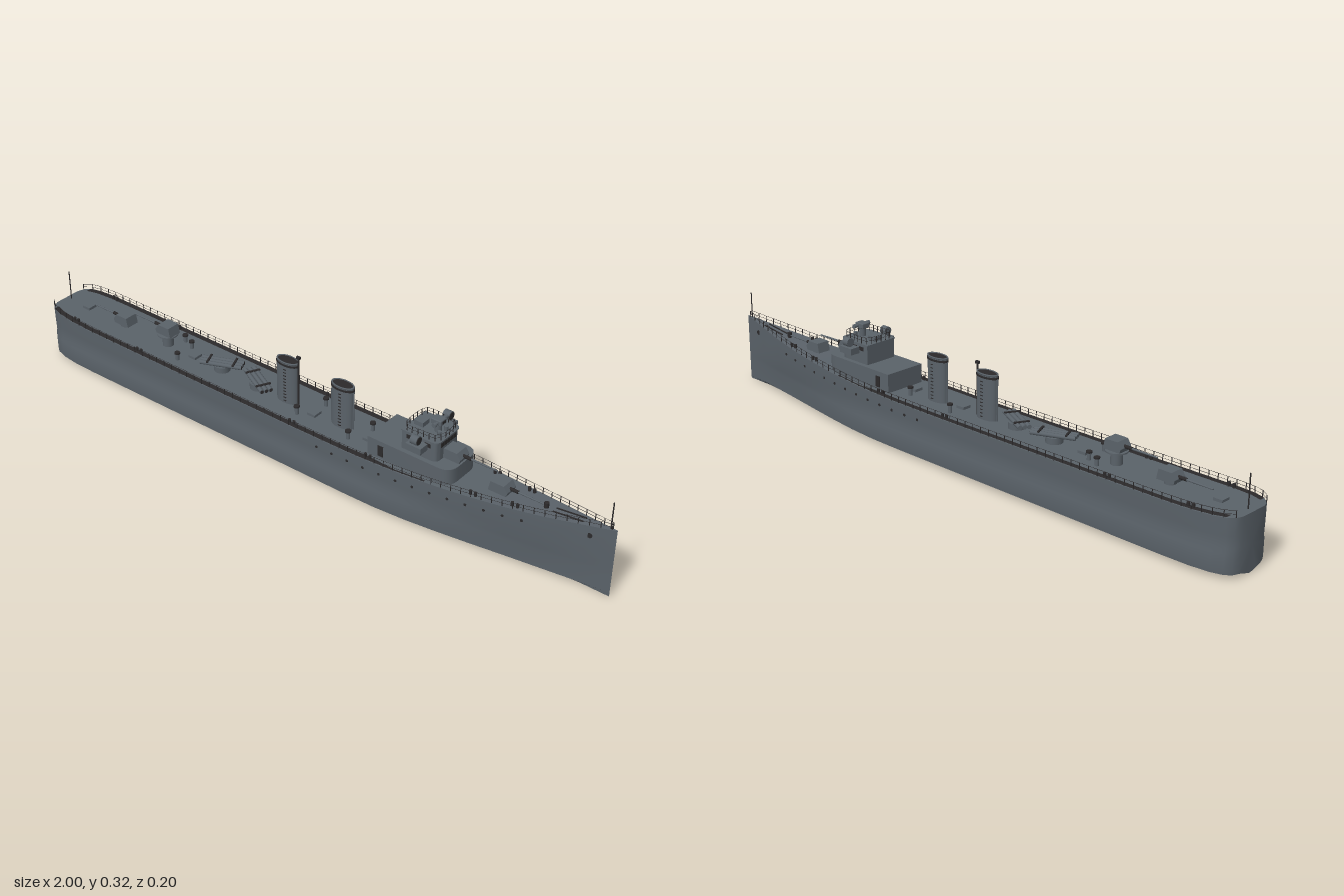
import * as THREE from 'three';
import { mergeGeometries, toCreasedNormals } from 'three/addons/utils/BufferGeometryUtils.js';
import { RoundedBoxGeometry } from 'three/addons/geometries/RoundedBoxGeometry.js';

const grey = new THREE.MeshStandardMaterial({ color: 0x5a6269, name: 'ship grey' });
const dark = new THREE.MeshStandardMaterial({ color: 0x2c2a2b, name: 'dark fittings' });

// Hull stations: [x, half width at deck, deck height]
const stations = [
  [-1, 0.045, 0.17], [-0.992, 0.066, 0.17], [-0.975, 0.08, 0.17], [-0.94, 0.091, 0.169], [-0.88, 0.098, 0.167],
  [-0.8, 0.1, 0.165], [-0.4, 0.1, 0.162], [0, 0.1, 0.16], [0.2, 0.1, 0.161], [0.3, 0.098, 0.163], [0.4, 0.092, 0.166],
  [0.5, 0.083, 0.17], [0.6, 0.072, 0.176], [0.7, 0.058, 0.183], [0.8, 0.042, 0.193], [0.9, 0.022, 0.205], [1, 0.001, 0.218],
];
function station(x) {
  let i = 0;
  while (i < stations.length - 2 && x > stations[i + 1][0]) i++;
  const a = stations[i], b = stations[i + 1], t = (x - a[0]) / (b[0] - a[0]);
  return { w: a[1] + (b[1] - a[1]) * t, y: a[2] + (b[2] - a[2]) * t };
}

// Skin a grid of cross-section points
function loft(rows, crease = 0.6) {
  const n = rows[0].length, pos = rows.flat().flat(), idx = [];
  for (let i = 0; i < rows.length - 1; i++)
    for (let j = 0; j < n - 1; j++) {
      const a = i * n + j, b = a + n;
      idx.push(a, a + 1, b, b, a + 1, b + 1);
    }
  const g = new THREE.BufferGeometry();
  g.setAttribute('position', new THREE.Float32BufferAttribute(pos, 3));
  g.setIndex(idx);
  g.computeVertexNormals();
  return toCreasedNormals(g, crease);
}

function add(parent, name, geo, mat, x = 0, y = 0, z = 0) {
  const m = new THREE.Mesh(geo, mat);
  m.name = name;
  m.position.set(x, y, z);
  parent.add(m);
  return m;
}
const box = (w, h, d) => new THREE.BoxGeometry(w, h, d);
const cyl = (r, h, n = 16, r2 = r) => new THREE.CylinderGeometry(r2, r, h, n);

function hull() {
  const rows = stations.map(([x, w, y]) => {
    const bow = THREE.MathUtils.smoothstep(x, 0.3, 1), low = w * (1 - 0.35 * bow);
    const side = [[w, y], [w * 0.985, 0.12], [w * (0.96 - 0.15 * bow), 0.085], [w * (1 - 0.25 * bow), 0.07],
      [low, 0.025], [low * 0.985, 0.013], [low * 0.5, 0.006], [0, 0]];
    const ring = [...side, ...side.slice(0, -1).reverse().map(([z, v]) => [-z, v]), [w, y]];
    return ring.map(([z, v]) => [x, v, z]);
  });
  rows.unshift(rows[0].map(() => [-1, 0.085, 0])); // transom
  return loft(rows);
}

// Railing along a list of deck points
function railing(points, height, step) {
  const curve = new THREE.CatmullRomCurve3(points, false, 'centripetal');
  const count = Math.max(2, Math.round(curve.getLength() / step)), parts = [];
  for (const p of curve.getSpacedPoints(count))
    parts.push(box(0.0018, height, 0.0018).translate(p.x, p.y + height / 2, p.z));
  for (const f of [0.5, 1]) {
    const wire = new THREE.CatmullRomCurve3(points.map(p => p.clone().setY(p.y + height * f)), false, 'centripetal');
    parts.push(new THREE.TubeGeometry(wire, count, 0.0006, 4));
  }
  return mergeGeometries(parts);
}

// Deckhouse from a plan with rounded front corners
function house(x0, x1, w, h, r) {
  const s = new THREE.Shape();
  s.moveTo(x0, -w);
  s.lineTo(x1 - r, -w);
  s.quadraticCurveTo(x1, -w, x1, -w + r);
  s.lineTo(x1, w - r);
  s.quadraticCurveTo(x1, w, x1 - r, w);
  s.lineTo(x0, w);
  s.closePath();
  return toCreasedNormals(new THREE.ExtrudeGeometry(s, { depth: h, bevelEnabled: false, curveSegments: 6 }).rotateX(-Math.PI / 2), 0.6);
}

function gun(name, x, y, dir, base) {
  const g = new THREE.Group();
  g.name = name;
  g.position.set(x, y, 0);
  if (dir < 0) g.rotation.y = Math.PI;
  add(g, 'gunPedestal', cyl(0.017, base, 16), grey, 0, base / 2);
  const s = new THREE.Shape([[-0.03, 0], [0.026, 0], [0.03, 0.012], [0.018, 0.03], [-0.024, 0.03]].map(p => new THREE.Vector2(...p)));
  add(g, 'gunShield', new THREE.ExtrudeGeometry(s, { depth: 0.044, bevelEnabled: false }).translate(0, 0, -0.022), grey, 0, base);
  add(g, 'gunBarrel', cyl(0.0035, 0.11, 10, 0.0022).rotateZ(-Math.PI / 2), grey, 0.08, base + 0.015);
  add(g, 'gunSleeve', cyl(0.005, 0.03, 10).rotateZ(-Math.PI / 2), dark, 0.036, base + 0.015);
  return g;
}

function funnel(name, x) {
  const g = new THREE.Group();
  g.name = name;
  g.position.set(x, 0.158, 0);
  const oval = (r, h, open) => new THREE.CylinderGeometry(r, r, h, 32, 1, open).scale(1, 1, 0.52);
  add(g, 'funnelCasing', oval(0.037, 0.138), grey, 0, 0.069);
  add(g, 'funnelCap', oval(0.04, 0.006), dark, 0, 0.131);
  add(g, 'funnelLip', new THREE.TorusGeometry(0.036, 0.003, 6, 32).rotateX(Math.PI / 2).scale(1, 1, 0.52), grey, 0, 0.139);
  add(g, 'funnelMouth', oval(0.034, 0.003), dark, 0, 0.138);
  for (const s of [-1, 1]) {
    for (let i = 0; i < 11; i++) add(g, 'ladderRung', box(0.009, 0.0018, 0.003), dark, 0.004, 0.012 + i * 0.0105, s * 0.0202);
    add(g, 'steamPipe', cyl(0.0025, 0.13, 8), grey, s * 0.0385, 0.065, 0);
  }
  return g;
}

function torpedoMount(x, z, angle) {
  const g = new THREE.Group();
  g.name = 'torpedoMount';
  g.position.set(x, 0.16, z);
  g.rotation.y = angle;
  add(g, 'turntable', cyl(0.025, 0.02, 20), grey, 0, 0.01);
  for (const i of [-1, 0, 1]) {
    add(g, 'torpedoTube', cyl(0.0065, 0.13, 12).rotateZ(Math.PI / 2), grey, 0, 0.026, i * 0.014);
    add(g, 'tubeMouth', cyl(0.0055, 0.001, 12).rotateZ(Math.PI / 2), dark, 0.0653, 0.026, i * 0.014);
  }
  for (const k of [-0.04, 0.04]) add(g, 'tubeClamp', box(0.006, 0.004, 0.046), dark, k, 0.033);
  return g;
}

export function createModel() {
  const ship = new THREE.Group();
  ship.name = 'warship';
  add(ship, 'hull', hull(), grey);

  // Fittings mirrored on both sides
  for (const s of [-1, 1]) {
    const edge = [-0.975, -0.94, -0.88, -0.8, -0.4, 0, 0.2, 0.27, 0.36, 0.46].map(x => {
      const { w, y } = station(x), band = x < 0.28 ? 0.018 : 0.006;
      const e = [[x, y + 0.002, s * (w - band)], [x, y + 0.002, s * (w - 0.0005)]];
      return s > 0 ? e : e.reverse();
    });
    add(ship, 'deckEdgeStrip', loft(edge), dark);
    const line = stations.filter(p => p[0] > -0.995 && p[0] < 0.99).map(([x, w, y]) => new THREE.Vector3(x, y, s * (w - 0.002)));
    line.push(new THREE.Vector3(0.985, 0.216, s * 0.003));
    add(ship, 'deckRailing', railing(line, 0.02, 0.03), dark);
    for (let i = 0; i < 13; i++) {
      const x = 0.1 + i * 0.054, { w, y } = station(x), v = y - 0.03;
      const port = cyl(0.0042, 0.003, 10).rotateX(Math.PI / 2);
      add(ship, 'porthole', port, dark, x, v, s * (w * 0.99));
    }
    add(ship, 'hawseHole', cyl(0.008, 0.004, 12).rotateX(Math.PI / 2), dark, 0.93, 0.178, s * 0.0145);
    for (const x of [-0.87, -0.6, 0.0, 0.27, 0.6, 0.72])
      for (const d of [-0.008, 0.008]) {
        const { w, y } = station(x);
        add(ship, 'bollard', cyl(0.0045, 0.012, 10), dark, x + d, y + 0.006, s * (w - 0.013));
      }
    add(ship, 'anchorChain', box(0.09, 0.003, 0.003), dark, 0.86, 0.202, s * 0.009).rotation.z = 0.12;
  }

  // Forward deckhouse and bridge
  add(ship, 'deckhouse', house(0.255, 0.53, 0.068, 0.064, 0.04), grey, 0, 0.156);
  add(ship, 'bridge', house(0.36, 0.475, 0.054, 0.06, 0.02), grey, 0, 0.22);
  add(ship, 'bridgeRoof', house(0.357, 0.478, 0.056, 0.003, 0.02), grey, 0, 0.279);
  for (let i = -2; i <= 2; i++) add(ship, 'bridgeWindow', box(0.002, 0.014, 0.0125), dark, 0.4755, 0.267, i * 0.0145);
  const rail = [[0.475, -0.02], [0.465, -0.045], [0.43, -0.049], [0.37, -0.049], [0.362, -0.03], [0.362, 0.03],
    [0.37, 0.049], [0.43, 0.049], [0.465, 0.045], [0.475, 0.02], [0.475, -0.02]].map(([x, z]) => new THREE.Vector3(x, 0.282, z));
  add(ship, 'bridgeRailing', railing(rail, 0.02, 0.018), dark);
  for (const s of [-1, 1]) {
    add(ship, 'bridgeWing', box(0.05, 0.02, 0.035), grey, 0.42, 0.26, s * 0.07);
    for (const x of [0.385, 0.415, 0.445]) add(ship, 'sideWindow', box(0.018, 0.012, 0.002), dark, x, 0.266, s * 0.0545);
    add(ship, 'searchlightPost', cyl(0.004, 0.012, 8), grey, 0.42, 0.273, s * 0.076);
    add(ship, 'searchlight', cyl(0.0135, 0.022, 20).rotateZ(Math.PI / 2), grey, 0.42, 0.285, s * 0.076);
    add(ship, 'searchlightLens', cyl(0.0115, 0.002, 20).rotateZ(Math.PI / 2), dark, 0.4315, 0.285, s * 0.076);
    add(ship, 'signalLamp', cyl(0.006, 0.014, 12), grey, 0.455, 0.288, s * 0.016);
    add(ship, 'hatch', box(0.018, 0.034, 0.002), dark, 0.3, 0.188, s * 0.0685);
  }
  // Rangefinder
  add(ship, 'directorPedestal', cyl(0.01, 0.03, 16), grey, 0.44, 0.295);
  add(ship, 'director', new RoundedBoxGeometry(0.034, 0.017, 0.028, 2, 0.003), grey, 0.44, 0.316);
  add(ship, 'rangefinderArm', cyl(0.0045, 0.058, 12).rotateX(Math.PI / 2), grey, 0.445, 0.316);
  for (const s of [-1, 1]) add(ship, 'rangefinderEnd', cyl(0.0065, 0.008, 12).rotateX(Math.PI / 2), grey, 0.445, 0.316, s * 0.027);
  add(ship, 'directorWindow', box(0.002, 0.008, 0.014), dark, 0.4575, 0.317);
  add(ship, 'chartTable', box(0.03, 0.016, 0.03), grey, 0.385, 0.288);

  // Guns
  ship.add(gun('foreGun', 0.652, 0.176, 1, 0.008), gun('bridgeGun', 0.5, 0.218, 1, 0.004),
    gun('raisedAftGun', -0.56, 0.16, -1, 0.046), gun('aftGun', -0.74, 0.162, -1, 0.012));
  add(ship, 'aftGunPlatform', cyl(0.032, 0.004, 20), grey, -0.56, 0.202);

  // Funnels with a tall whistle pipe
  ship.add(funnel('foreFunnel', 0.115), funnel('aftFunnel', -0.085));
  add(ship, 'whistlePipe', cyl(0.003, 0.16, 8), dark, -0.046, 0.24);
  add(ship, 'whistleHead', box(0.012, 0.008, 0.008), dark, -0.046, 0.319);

  // Torpedo tubes
  ship.add(torpedoMount(-0.34, 0, 0.4), torpedoMount(-0.195, 0.005, -0.48));

  // Small deck fittings
  for (const [x, z] of [[-0.53, -0.045], [-0.49, -0.03], [-0.48, 0.045], [-0.02, 0.04], [0.02, -0.045], [0.17, 0.045], [0.2, -0.03]]) {
    add(ship, 'ventilator', cyl(0.006, 0.026, 10), grey, x, 0.172, z);
    add(ship, 'ventilatorCap', cyl(0.009, 0.005, 10), dark, x, 0.186, z);
  }
  for (const [x, z] of [[-0.45, 0], [0.02, 0.01], [-0.9, 0], [0.22, 0.01]])
    add(ship, 'deckHatch', box(0.028, 0.01, 0.03), grey, x, station(x).y + 0.003, z);
  add(ship, 'capstan', cyl(0.007, 0.016, 12), dark, 0.79, 0.2);

  // Flagstaffs
  add(ship, 'bowStaff', cyl(0.0018, 0.085, 6), dark, 0.98, 0.256);
  add(ship, 'sternStaff', cyl(0.0018, 0.1, 6), dark, -0.982, 0.217);
  return ship;
}
